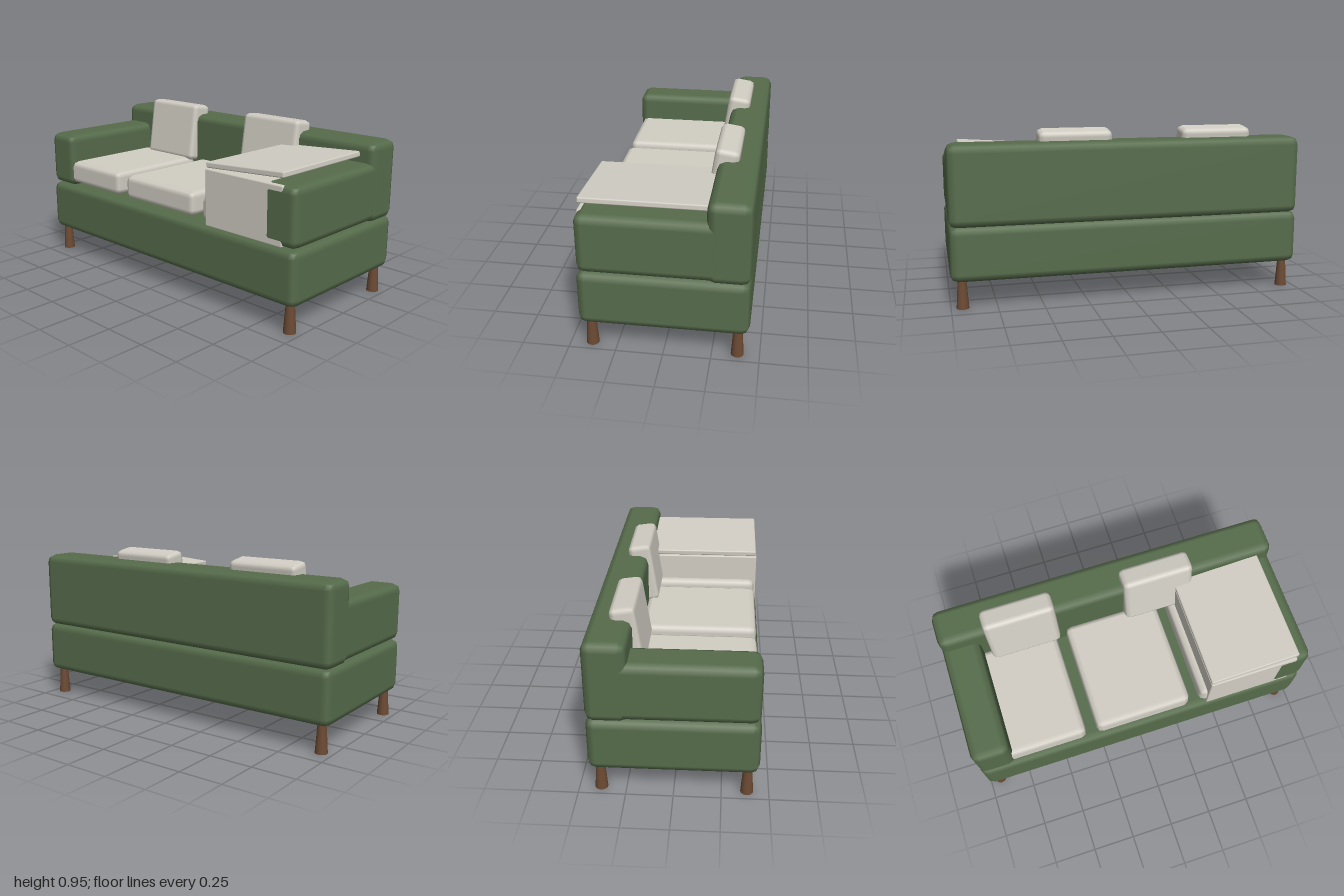
import * as THREE from 'three';
import { RoundedBoxGeometry } from 'three/addons/geometries/RoundedBoxGeometry.js';

const material = (name, color) => {
  const m = new THREE.MeshStandardMaterial({ color });
  m.name = name;
  return m;
};

export function createModel() {
  const green = material('green fabric', 0x566c4b);
  const cream = material('cream fabric', 0xd2cec4);
  const wood = material('brown wood', 0x6b4a33);
  const sofa = new THREE.Group();
  sofa.name = 'sofa';

  // Soft-edged block given by its [min, max] on each axis
  const block = (name, mat, [x0, x1], [y0, y1], [z0, z1], radius, segments = 1) => {
    const mesh = new THREE.Mesh(
      new RoundedBoxGeometry(x1 - x0, y1 - y0, z1 - z0, segments, radius), mat);
    mesh.position.set((x0 + x1) / 2, (y0 + y1) / 2, (z0 + z1) / 2);
    mesh.name = name;
    sofa.add(mesh);
    return mesh;
  };

  // Upholstered body
  block('base', green, [-1, 1], [0.15, 0.455], [-0.445, 0.445], 0.045);
  block('backrest', green, [-1, 1], [0.445, 0.89], [-0.445, -0.22], 0.045);
  block('rightArm', green, [-0.998, -0.78], [0.455, 0.78], [-0.38, 0.44], 0.045);
  block('leftArm', green, [0.78, 0.998], [0.455, 0.78], [-0.38, 0.44], 0.045);

  // Three seat cushions, the outer ones tucked under the arms
  for (const x of [-0.63, 0, 0.63]) {
    block('seatCushion', cream, [x - 0.283, x + 0.283], [0.475, 0.615], [-0.23, 0.425], 0.035);
  }

  // Two loose pillows leaning against the backrest
  for (const x of [-0.528, 0.292]) {
    const pillow = block('backPillow', cream, [x - 0.208, x + 0.208], [0.59, 0.95],
      [-0.318, -0.182], 0.03);
    pillow.rotation.x = -0.15;
  }

  // Storage box beside the left arm, with a slightly raised lid
  block('storageBox', cream, [0.39, 0.91], [0.457, 0.772], [-0.23, 0.437], 0.008);
  const lid = block('storageLid', cream, [0.39, 0.91], [0.792, 0.824], [-0.23, 0.432], 0.008);
  lid.rotation.z = 0.065;

  // Tapered legs
  const legShape = new THREE.CylinderGeometry(0.023, 0.034, 0.16, 20);
  for (const x of [-0.937, 0.937]) {
    for (const z of [-0.384, 0.384]) {
      const leg = new THREE.Mesh(legShape, wood);
      leg.position.set(x, 0.08, z);
      leg.name = 'leg';
      sofa.add(leg);
    }
  }
  return sofa;
}
